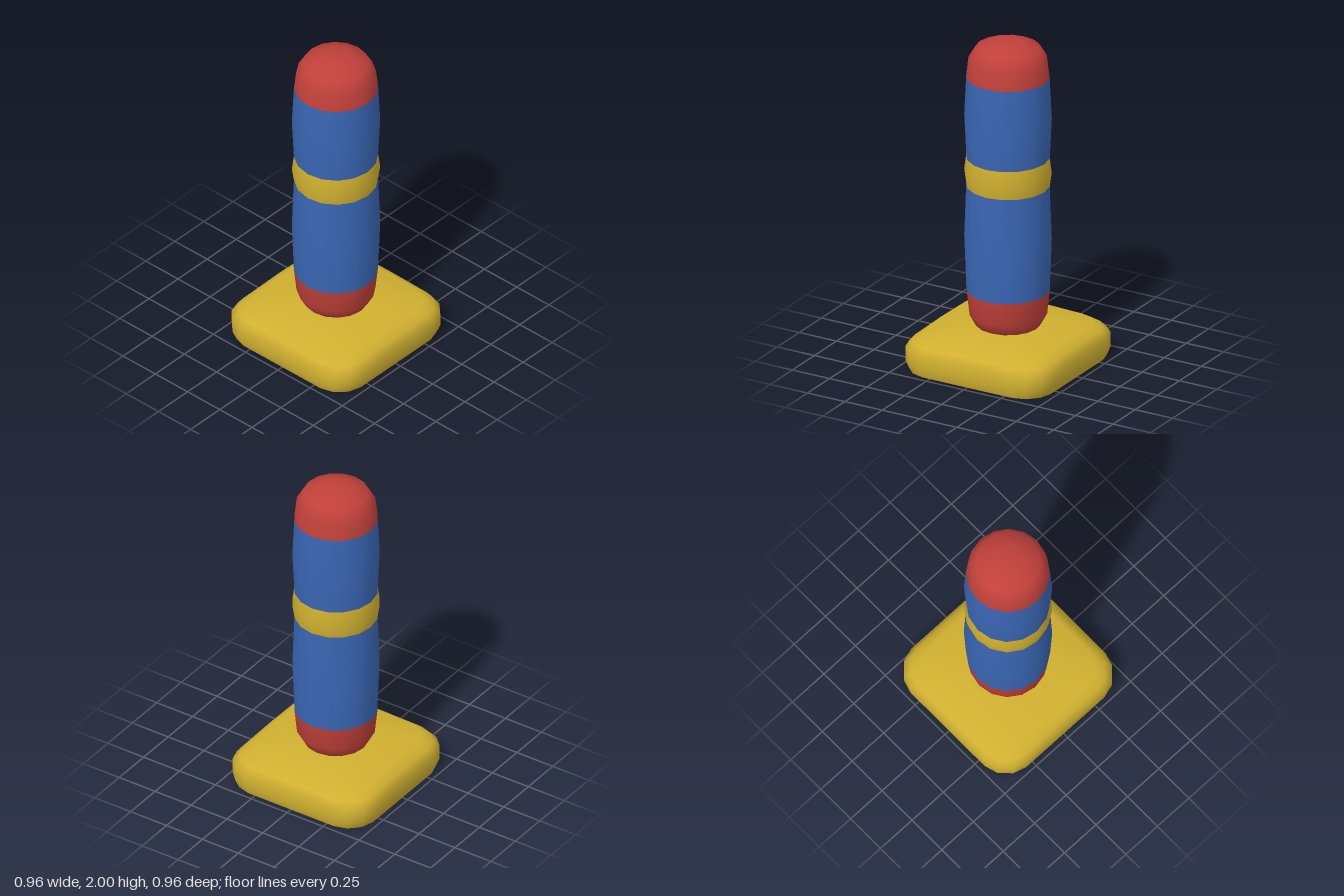
import * as THREE from 'three';

const makeMaterial = (name, color) => {
  const m = new THREE.MeshStandardMaterial({ color, side: THREE.DoubleSide });
  m.name = name;
  return m;
};

// Soft square hollow base, lofted from rounded-square rings, open underneath
function baseGeometry() {
  // one side of the unit outline, repeated by quarter turns
  const side = [[1, 0], [1, 0.34], [1, 0.645], [0.95, 0.815], [0.815, 0.95], [0.645, 1], [0.34, 1]];
  // half width, height, extra drop at the corners
  const rings = [[0.463, 0, 0], [0.48, 0.05, 0], [0.48, 0.14, 0.005], [0.45, 0.18, 0.008],
    [0.4, 0.215, 0.012], [0.2, 0.238, 0.003]];
  const outline = [];
  for (let q = 0; q < 4; q++) {
    const c = Math.round(Math.cos(q * Math.PI / 2)), s = Math.round(Math.sin(q * Math.PI / 2));
    for (const [x, z] of side.slice(0, 6)) outline.push([x * c - z * s, x * s + z * c]);
    outline.push([side[6][0] * c - side[6][1] * s, side[6][0] * s + side[6][1] * c]);
  }
  const n = outline.length, pos = [], index = [];
  for (const [r, y, drop] of rings) {
    for (const [x, z] of outline) {
      const corner = Math.min(Math.abs(x), Math.abs(z));
      pos.push(x * r, y - drop * corner, z * r);
    }
  }
  for (let k = 0; k < rings.length - 1; k++) {
    for (let i = 0; i < n; i++) {
      const a = k * n + i, b = k * n + (i + 1) % n;
      index.push(a, a + n, b, b, a + n, b + n);
    }
  }
  // top centre fan
  const top = (rings.length - 1) * n;
  pos.push(0, 0.24, 0);
  for (let i = 0; i < n; i++) index.push(top + i, rings.length * n, top + (i + 1) % n);
  const g = new THREE.BufferGeometry();
  g.setAttribute('position', new THREE.Float32BufferAttribute(pos, 3));
  g.setIndex(index);
  g.computeVertexNormals();
  return g;
}

export function createModel() {
  const group = new THREE.Group();
  const yellow = makeMaterial('yellow', 0xd0b030);
  const red = makeMaterial('red', 0xc0403a);
  const blue = makeMaterial('blue', 0x3a66b4);

  const add = (name, geometry, material) => {
    const mesh = new THREE.Mesh(geometry, material);
    mesh.name = name;
    group.add(mesh);
  };

  add('base', baseGeometry(), yellow);

  // Sixteen-sided post, stacked in coloured bands from bottom to top
  const bands = [
    ['lowerEnd', red, [[0.155, 0.215], [0.19, 0.24], [0.228, 0.31], [0.243, 0.455]]],
    ['lowerPost', blue, [[0.243, 0.455], [0.255, 0.78], [0.243, 1.105]]],
    ['middleBand', yellow, [[0.243, 1.105], [0.255, 1.19], [0.243, 1.28]]],
    ['upperPost', blue, [[0.243, 1.28], [0.255, 1.53], [0.243, 1.78]]],
    ['cap', red, [[0.243, 1.78], [0.23, 1.89], [0.188, 1.96], [0.09, 1.998], [0, 2]]],
  ];
  for (const [name, material, profile] of bands) {
    const points = profile.map(([r, y]) => new THREE.Vector2(r, y));
    add(name, new THREE.LatheGeometry(points, 16), material);
  }
  return group;
}
